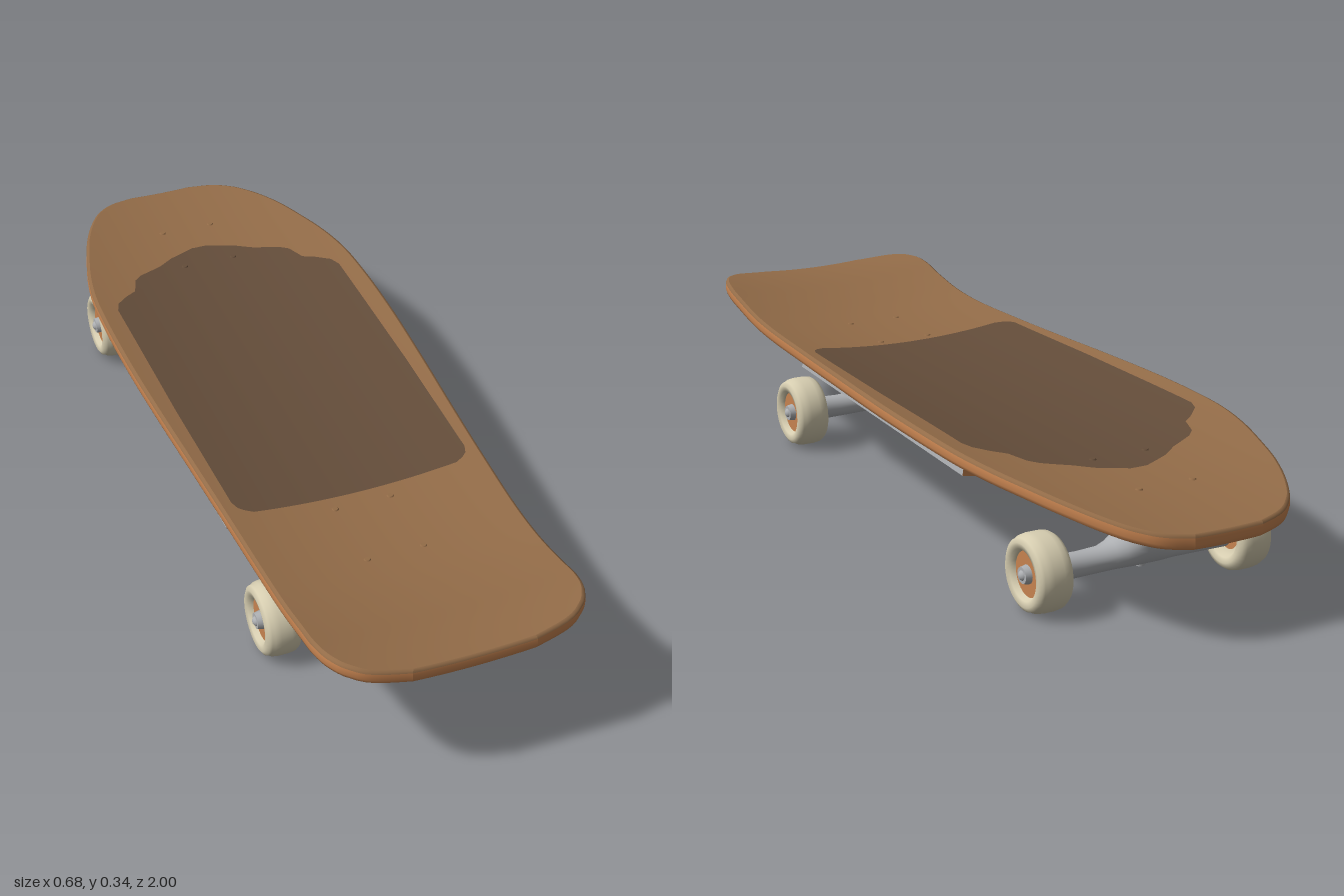
import * as THREE from 'three';

const mat = (name, color, extra = {}) => Object.assign(new THREE.MeshStandardMaterial({ color, ...extra }), { name });

// Smooth or straight lookup through [z, value] pairs
function lookup(pairs, Type = THREE.CubicInterpolant) {
  const f = new Type(pairs.map(p => p[0]), pairs.map(p => p[1]), 1);
  return z => f.evaluate(z)[0];
}

// Half width of the deck, and height of its centre line
const halfWidth = lookup([[-1, 0.08], [-0.985, 0.13], [-0.95, 0.178], [-0.9, 0.214], [-0.8, 0.26], [-0.7, 0.291],
  [-0.6, 0.317], [-0.5, 0.333], [-0.4, 0.338], [-0.2, 0.337], [0, 0.328], [0.2, 0.316], [0.4, 0.305], [0.6, 0.296],
  [0.8, 0.292], [0.87, 0.291], [0.92, 0.28], [0.96, 0.252], [0.985, 0.208], [1, 0.135]]);
const centreHeight = lookup([[-1, 0.246], [-0.9, 0.255], [-0.8, 0.262], [-0.6, 0.268], [-0.4, 0.27], [0, 0.267],
  [0.4, 0.264], [0.6, 0.266], [0.7, 0.274], [0.8, 0.292], [0.9, 0.314], [0.96, 0.321], [1, 0.321]]);
const gripWidth = lookup([[-0.67, 0.02], [-0.64, 0.085], [-0.61, 0.125], [-0.58, 0.185], [-0.56, 0.205],
  [-0.51, 0.222], [-0.49, 0.25], [-0.46, 0.28], [-0.43, 0.29], [0, 0.286], [0.35, 0.277], [0.375, 0.268],
  [0.39, 0.24]], THREE.LinearInterpolant);
const topY = (x, z) => centreHeight(z) + 0.28 * x * x;
const THICK = 0.033;

// Smooth surface through a grid of points, given as rows
function sheet(rows) {
  const n = rows[0].length, index = [];
  for (let i = 0; i < rows.length - 1; i++)
    for (let j = 0; j < n - 1; j++) {
      const a = i * n + j, c = a + n;
      index.push(a, c, a + 1, a + 1, c, c + 1);
    }
  const g = new THREE.BufferGeometry();
  g.setAttribute('position', new THREE.Float32BufferAttribute(rows.flat(2), 3));
  g.setIndex(index);
  g.computeVertexNormals();
  return g;
}

const range = (n, f) => Array.from({ length: n + 1 }, (_, i) => f(i / n));

export function createModel() {
  const model = new THREE.Group();
  model.name = 'skateboard';
  const M = {
    top: mat('deckBrown', 0x936c48),
    wood: mat('woodOrange', 0xc68350),
    grip: mat('gripDarkBrown', 0x644d3a, { side: THREE.DoubleSide }),
    metal: mat('truckGrey', 0xadafb2),
    wheel: mat('wheelCream', 0xd6cdb0),
  };
  const add = (parent, name, geometry, material, x = 0, y = 0, z = 0) => {
    const m = new THREE.Mesh(geometry, material);
    m.name = name;
    m.position.set(x, y, z);
    parent.add(m);
    return m;
  };

  // Deck: concave top and bottom faces, joined by a rounded edge
  const deck = new THREE.Group();
  deck.name = 'deck';
  model.add(deck);
  const stations = range(90, t => -Math.cos(Math.PI * t));
  const deckPoint = (x, z, k, drop) => [x * (1 - 0.025 * k), topY(x, z) - drop, z * (1 - 0.006 * k)];
  const face = (dir, drop) => sheet(stations.map(z =>
    range(24, t => deckPoint(dir * (2 * t - 1) * halfWidth(z), z, 1, drop))));
  add(deck, 'deckTop', face(1, 0), M.top);
  add(deck, 'deckUnderside', face(-1, THICK), M.wood);
  const rim = [
    ...stations.map(z => [halfWidth(z), z]),
    ...range(12, t => [(1 - 2 * t) * halfWidth(1), 1]),
    ...[...stations].reverse().map(z => [-halfWidth(z), z]),
    ...range(12, t => [(2 * t - 1) * halfWidth(-1), -1]),
  ];
  const band = profile => sheet(rim.map(([x, z]) => profile.map(([k, d]) => deckPoint(x, z, k, d))));
  add(deck, 'deckTopRim', band([[1, 0], [0.35, 0.002], [0.1, 0.007]]), M.top);
  add(deck, 'deckEdge', band([[0.1, 0.007], [0, 0.012], [0, 0.022], [0.3, 0.03], [1, THICK]]), M.wood);

  // Grip pad lying on the deck
  add(deck, 'gripPad', sheet(range(106, t => {
    const z = -0.67 + 1.06 * t, w = gripWidth(z);
    return range(24, u => [(2 * u - 1) * w, topY((2 * u - 1) * w, z) + 0.003, z]);
  })), M.grip);

  // Side rails under the deck, following its outline
  for (const s of [1, -1]) {
    const rail = add(model, 'sideRail', new THREE.BoxGeometry(0.046, 0.022, 0.87),
      [M.metal, M.metal, M.metal, M.metal, M.wood, M.wood], s * 0.285, 0.254, -0.055);
    rail.rotation.set(0, -s * 0.022, s * 0.17);
  }

  // Hanger sections: x, bottom, top, half depth
  const side = [[0.21, 0.058, 0.115, 0.028], [0.15, 0.059, 0.113, 0.028], [0.1, 0.06, 0.115, 0.03],
    [0.075, 0.061, 0.124, 0.035], [0.055, 0.061, 0.138, 0.042], [0.035, 0.061, 0.16, 0.052], [0.015, 0.061, 0.18, 0.058]];
  const sections = [...side.map(([x, ...r]) => [-x, ...r]), ...[...side].reverse()];
  const hangerGeo = sheet(sections.map(([x, lo, hi, d]) => range(24, t => {
    const a = t * Math.PI * 2;
    return [x, (lo + hi) / 2 + Math.cos(a) * (hi - lo) / 2, -Math.sin(a) * d];
  })));

  // Tapered block under the base plate, narrowing to a blunt point in front view
  const wedgeGeo = new THREE.BoxGeometry(0.15, 0.065, 0.2).toNonIndexed();
  const p = wedgeGeo.attributes.position;
  for (let i = 0; i < p.count; i++)
    if (p.getY(i) < 0) p.setXYZ(i, p.getX(i) * 0.15, p.getY(i), p.getZ(i) * 0.66);
  wedgeGeo.computeVertexNormals();

  // Wheel profile: radius, distance along the axle
  const wheelGeo = new THREE.LatheGeometry([[0.03, 0.225], [0.05, 0.22], [0.054, 0.208], [0.066, 0.204], [0.077, 0.208],
    [0.083, 0.217], [0.085, 0.23], [0.085, 0.255], [0.083, 0.268], [0.079, 0.274], [0.078, 0.28], [0.068, 0.286],
    [0.055, 0.283], [0.05, 0.272], [0.046, 0.264]].map(q => new THREE.Vector2(...q)), 40);

  for (const [z, dir] of [[0.515, 1], [-0.682, -1]]) {
    const truck = new THREE.Group();
    truck.name = dir > 0 ? 'frontTruck' : 'backTruck';
    truck.position.z = z;
    model.add(truck);
    add(truck, 'basePlate', new THREE.BoxGeometry(0.168, 0.056, 0.212), M.metal, 0, 0.211, 0);
    add(truck, 'baseWedge', wedgeGeo, M.metal, 0, 0.1545, 0);
    add(truck, 'hanger', hangerGeo, M.metal);
    add(truck, 'kingpin', new THREE.CylinderGeometry(0.013, 0.011, 0.05, 16), M.metal, 0, 0.08, 0);
    const kingpinNut = add(truck, 'kingpinNut', new THREE.CylinderGeometry(0.022, 0.022, 0.05, 6), M.metal, 0, 0.125, -dir * 0.058);
    kingpinNut.rotation.x = dir * 0.5;

    // Mounting nuts below and nearly flush bolt heads above
    for (const sx of [1, -1])
      for (const sz of [1, -1]) {
        const bz = z + sz * 0.09, onGrip = bz > -0.67 && bz < 0.39;
        add(truck, 'mountingNut', new THREE.SphereGeometry(0.015, 12, 8), M.metal, sx * 0.066, 0.18, sz * 0.088);
        add(truck, 'boltHead', new THREE.CylinderGeometry(0.006, 0.01, 0.005, 12), onGrip ? M.grip : M.top,
          sx * 0.065, topY(0.065, bz) + (onGrip ? 0.003 : 0), sz * 0.09);
      }

    // Wheels, hubs and axle ends
    for (const s of [1, -1]) {
      const wheel = new THREE.Group();
      wheel.name = s > 0 ? 'leftWheel' : 'rightWheel';
      wheel.position.y = 0.087;
      wheel.rotation.z = -s * Math.PI / 2;
      truck.add(wheel);
      add(wheel, 'tyre', wheelGeo, M.wheel);
      add(wheel, 'hub', new THREE.CylinderGeometry(0.05, 0.05, 0.048, 32), M.wood, 0, 0.247, 0);
      add(wheel, 'axleEnd', new THREE.CylinderGeometry(0.018, 0.022, 0.02, 16), M.metal, 0, 0.275, 0);
      add(wheel, 'axleTip', new THREE.SphereGeometry(0.013, 12, 8), M.metal, 0, 0.279, 0);
    }
  }
  return model;
}
